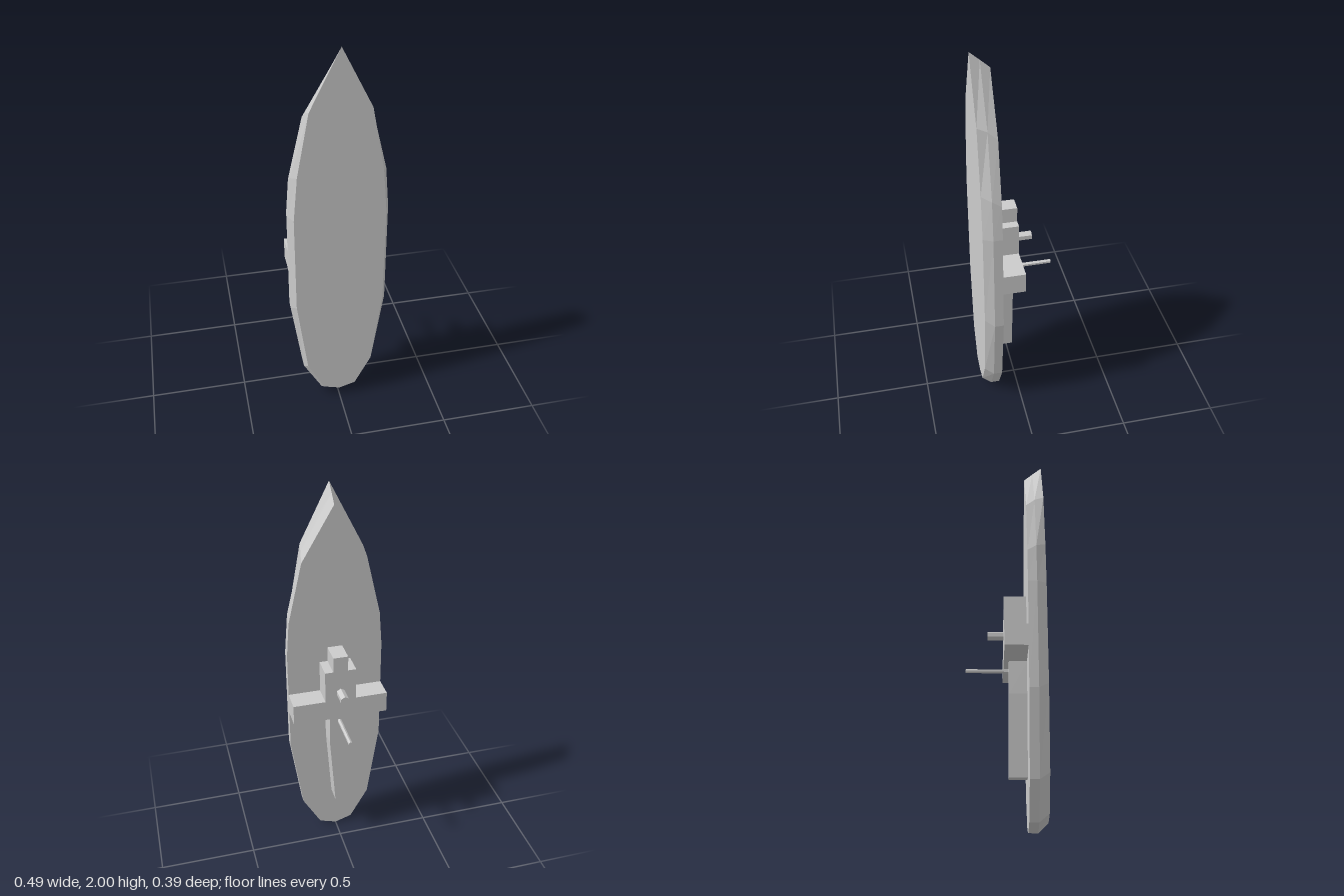
import * as THREE from 'three';

const material = new THREE.MeshStandardMaterial({ color: 0xcccccc, flatShading: true });

function addMesh(parent, name, geometry) {
  const mesh = new THREE.Mesh(geometry, material);
  mesh.name = name;
  parent.add(mesh);
  return mesh;
}

// Close a right-hand outline (first and last points on the centre line) by mirroring it
const mirrorOutline = (half) => [
  ...half,
  ...half.slice(1, -1).reverse().map(([x, y]) => [-x, y]),
];

// Skin convex outlines stacked from front to back, with flat caps
function loft(sections) {
  const rings = sections.map(({ z, half }) =>
    mirrorOutline(half).map(([x, y]) => new THREE.Vector3(x, y, z)));
  const points = [];
  const n = rings[0].length;
  for (let r = 0; r < rings.length - 1; r++) {
    for (let i = 0; i < n; i++) {
      const j = (i + 1) % n;
      const [a, b, c, d] = [rings[r][i], rings[r][j], rings[r + 1][i], rings[r + 1][j]];
      points.push(a, b, c, b, d, c);
    }
  }
  const first = rings[0], last = rings[rings.length - 1];
  for (let i = 1; i < n - 1; i++) {
    points.push(first[0], first[i + 1], first[i]);
    points.push(last[0], last[i], last[i + 1]);
  }
  const geometry = new THREE.BufferGeometry().setFromPoints(points);
  geometry.computeVertexNormals();
  return geometry;
}

// Mirrored outline extruded between two depths
function slab(half, zBack, zFront) {
  const shape = new THREE.Shape(mirrorOutline(half).map(([x, y]) => new THREE.Vector2(x, y)));
  return new THREE.ExtrudeGeometry(shape, { depth: zFront - zBack, bevelEnabled: false })
    .translate(0, 0, zBack);
}

// Six-sided rod along z, with an edge facing up
function addRod(parent, name, radius, y, zBack, zFront) {
  const geometry = new THREE.CylinderGeometry(radius, radius, zFront - zBack, 6);
  geometry.rotateX(Math.PI / 2);
  geometry.translate(0, y, (zBack + zFront) / 2);
  addMesh(parent, name, geometry);
}

export function createModel() {
  const model = new THREE.Group();
  model.name = 'ship';

  // Hull: flat keel face, chamfered bilge, upright sides and raked bow
  const side = [[0.245, 1.16], [0.245, 0.61], [0.185, 0.2], [0.09, 0.03], [0, 0]];
  addMesh(model, 'hull', loft([
    { z: 0.195, half: [[0, 2], [0.145, 1.71], [0.204, 1.39], [0.224, 1.16],
      [0.222, 0.64], [0.17, 0.235], [0.085, 0.07], [0, 0.045]] },
    { z: 0.148, half: [[0, 1.96], [0.152, 1.69], [0.228, 1.37], ...side] },
    { z: 0.103, half: [[0, 1.92], [0.16, 1.65], [0.231, 1.34], ...side] },
  ]));

  // Stepped bridge with wide wings
  addMesh(model, 'bridge', slab([
    [0, 1.18], [0.038, 1.18], [0.038, 1.1], [0.08, 1.1],
    [0.08, 0.93], [0.245, 0.93], [0.245, 0.82], [0, 0.82],
  ], -0.01, 0.105));

  // Tapering deckhouse behind the bridge
  addMesh(model, 'deckhouse', slab([
    [0, 0.82], [0.052, 0.82], [0.052, 0.65], [0.023, 0.25], [0, 0.25],
  ], 0.015, 0.105));

  // Funnel and mast
  addRod(model, 'funnel', 0.023, 0.975, -0.09, -0.01);
  addRod(model, 'mast', 0.0105, 0.785, -0.195, 0.02);

  return model;
}
